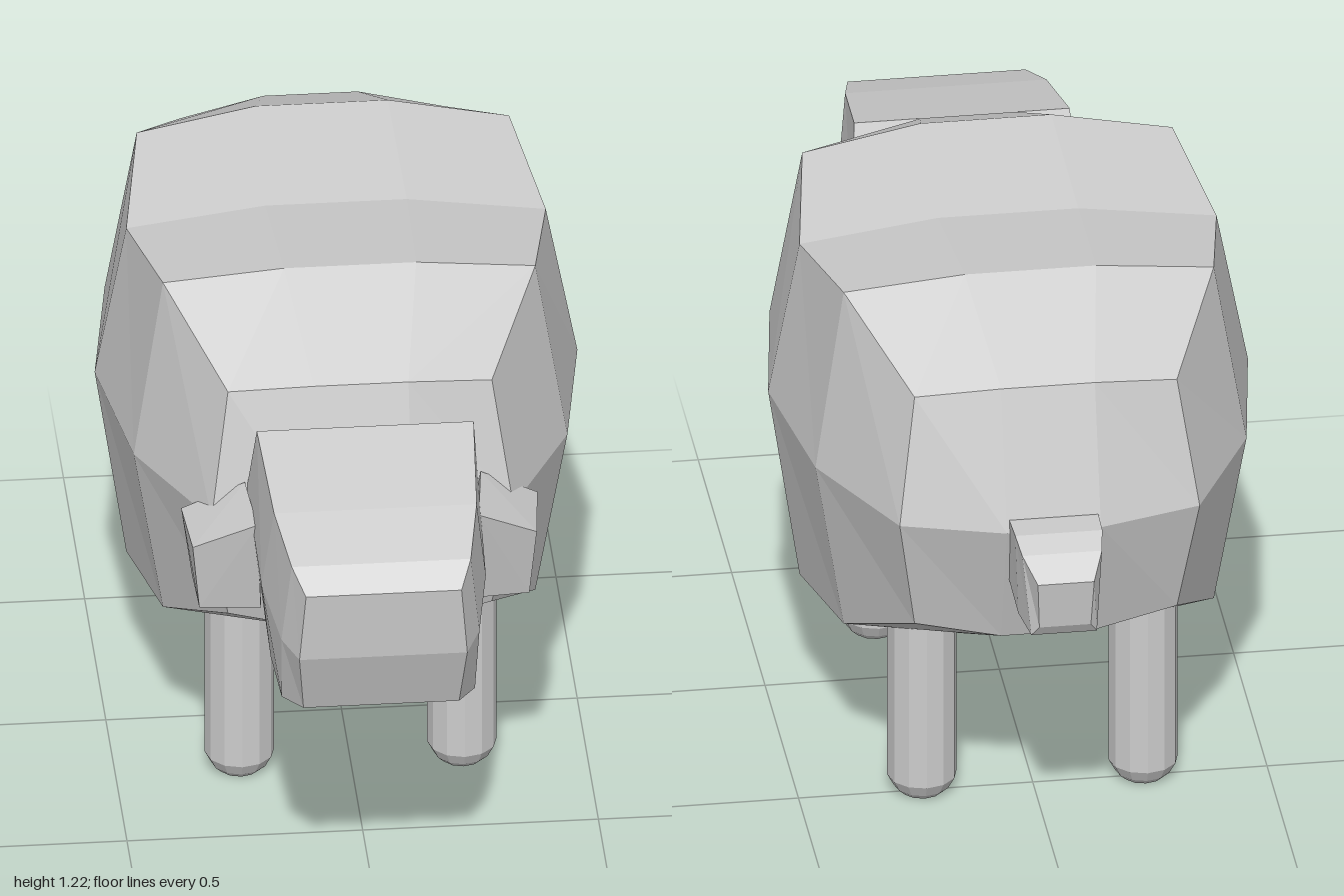
import * as THREE from 'three';
import { ConvexGeometry } from 'three/addons/geometries/ConvexGeometry.js';

const material = new THREE.MeshStandardMaterial({ color: 0xcccccc, flatShading: true });

function addMesh(group, name, geometry) {
  const mesh = new THREE.Mesh(geometry, material);
  mesh.name = name;
  group.add(mesh);
  return mesh;
}

// Loft through sections ordered back to front. Each section lists its +x half
// from bottom to top as [x, y, z]; the other half is mirrored.
function loftMirrored(sections) {
  const pos = [];
  const tri = (...pts) => {
    const [a, b, c] = pts.map((p) => new THREE.Vector3(...p));
    if (new THREE.Triangle(a, b, c).getArea() > 1e-7) pts.forEach((p) => pos.push(...p));
  };
  const quad = (a, b, c, d) => { tri(a, b, c); tri(a, c, d); };
  const flip = ([x, y, z]) => [-x, y, z];
  const rings = sections.map((h) => [...h, ...h.map(flip).reverse()]);
  for (let k = 0; k < rings.length - 1; k++) {
    const a = rings[k], b = rings[k + 1], n = a.length;
    for (let i = 0; i < n; i++) {
      const j = (i + 1) % n;
      quad(a[i], a[j], b[j], b[i]);
    }
  }
  // End caps as strips across the mirror plane
  const back = sections[0], front = sections[sections.length - 1];
  for (let i = 0; i < back.length - 1; i++) {
    quad(flip(front[i]), front[i], front[i + 1], flip(front[i + 1]));
    quad(back[i], flip(back[i]), flip(back[i + 1]), back[i + 1]);
  }
  const geometry = new THREE.BufferGeometry();
  geometry.setAttribute('position', new THREE.Float32BufferAttribute(pos, 3));
  geometry.computeVertexNormals();
  return geometry;
}

// Body: five rings symmetric about z = -0.13, closed by faceted ends
function bodyGeometry() {
  const cz = -0.13, midY = 0.78;
  const ring = (s, [x, xm, xi, dz, dzm, dzi, yT, yTi, yB, yBi]) => [
    [xi, yBi, cz + s * dzi], [x, yB, cz + s * dz], [xm, midY, cz + s * dzm],
    [x, yT, cz + s * dz], [xi, yTi, cz + s * dzi],
  ];
  const end = [0.28, 0.32, 0.1, 0.565, 0.625, 0.6, 1.055, 1.08, 0.51, 0.485];
  const shoulder = [0.395, 0.46, 0.14, 0.31, 0.345, 0.335, 1.178, 1.215, 0.38, 0.35];
  const middle = [0.445, 0.512, 0.15, 0, 0, 0, 1.13, 1.17, 0.335, 0.293];
  const cap = (s) => {
    const low = [0.1, 0.485, cz + s * 0.6], high = [0.1, 1.08, cz + s * 0.6];
    return [low, low, [0.1, midY, cz + s * 0.69], high, high];
  };
  return loftMirrored([
    cap(-1), ring(-1, end), ring(-1, shoulder), ring(1, middle),
    ring(1, shoulder), ring(1, end), cap(1),
  ]);
}

export function createModel() {
  const model = new THREE.Group();
  addMesh(model, 'body', bodyGeometry());

  // Head: tapering wedge with a blunt muzzle
  addMesh(model, 'head', loftMirrored([
    [[0.2, 0.68, 0.44], [0.245, 0.85, 0.49], [0.23, 1.03, 0.56]],
    [[0.215, 0.57, 0.72], [0.238, 0.77, 0.76], [0.215, 0.97, 0.8]],
    [[0.205, 0.56, 0.87], [0.21, 0.73, 0.92], [0.19, 0.92, 0.94]],
    [[0.165, 0.572, 0.94], [0.178, 0.72, 0.99], [0.165, 0.88, 1.0]],
  ]));

  // Ears: drooping blocks
  for (const [side, name] of [[1, 'leftEar'], [-1, 'rightEar']]) {
    const corners = [
      [0.25, 0.87, 0.5], [0.235, 0.84, 0.63], [0.225, 0.62, 0.6], [0.215, 0.64, 0.48],
      [0.365, 0.745, 0.55], [0.378, 0.765, 0.42], [0.355, 0.6, 0.42], [0.35, 0.59, 0.54],
    ];
    addMesh(model, name, new ConvexGeometry(
      corners.map(([x, y, z]) => new THREE.Vector3(side * x, y, z))));
  }

  // Legs: straight posts with bevelled feet
  const legProfile = [[0, 0], [0.045, 0], [0.06, 0.014], [0.074, 0.04], [0.074, 0.55], [0, 0.55]]
    .map(([r, y]) => new THREE.Vector2(r, y));
  for (const [end, z] of [['front', 0.213], ['back', -0.495]]) {
    for (const [side, x] of [['Left', 0.236], ['Right', -0.236]]) {
      addMesh(model, `${end}${side}Leg`, new THREE.LatheGeometry(legProfile, 12))
        .position.set(x, 0, z);
    }
  }

  // Tail: short stub
  addMesh(model, 'tail', loftMirrored([
    [[0.055, 0.64, -0.985], [0.06, 0.75, -1.0]],
    [[0.07, 0.615, -0.97], [0.085, 0.79, -0.94]],
    [[0.085, 0.62, -0.88], [0.093, 0.812, -0.89]],
    [[0.09, 0.645, -0.78], [0.095, 0.81, -0.82]],
    [[0.085, 0.66, -0.72], [0.09, 0.78, -0.72]],
  ]));

  return model;
}
